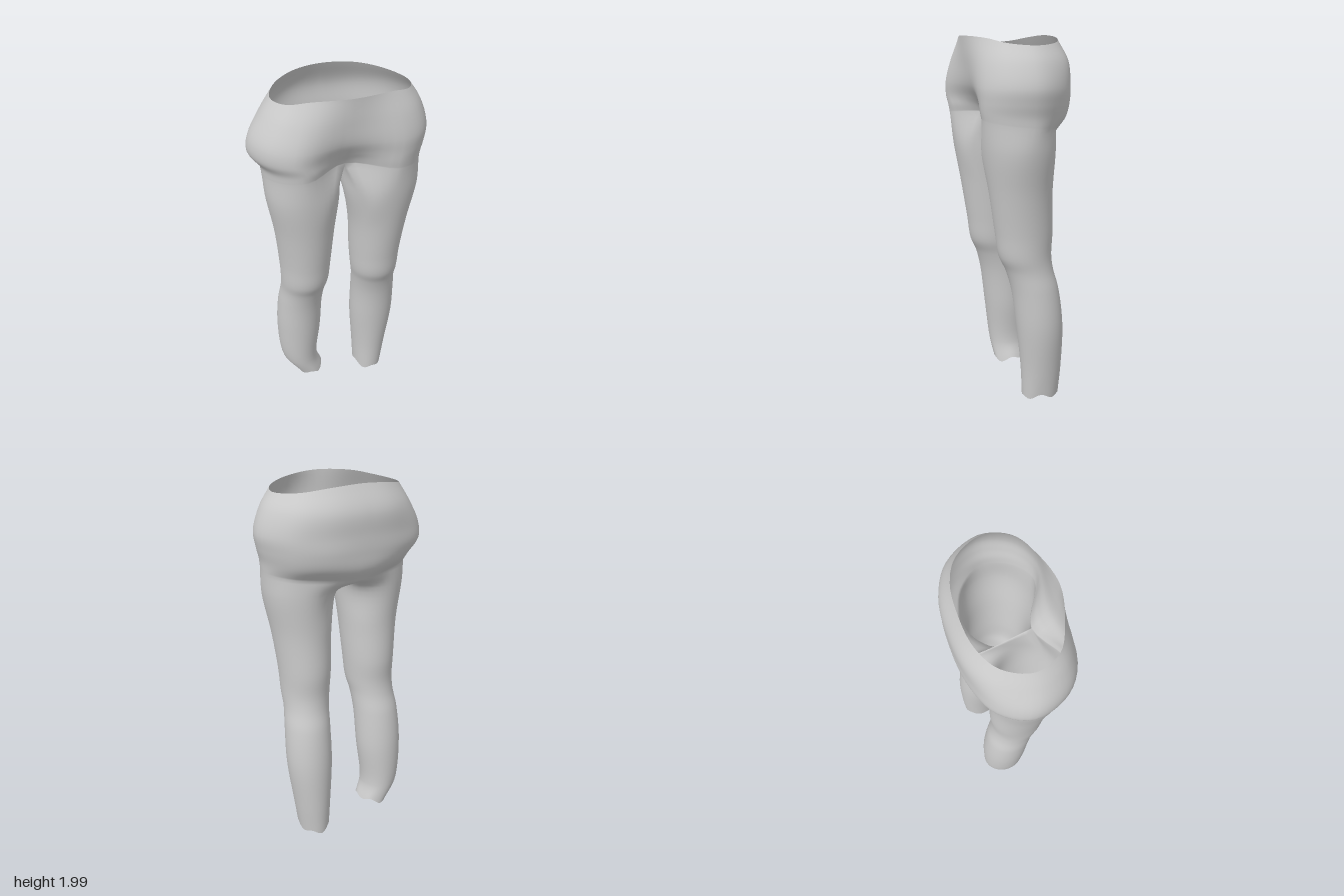
import * as THREE from 'three';
import { mergeGeometries, mergeVertices } from 'three/addons/utils/BufferGeometryUtils.js';

const K = 5; // samples between control points around a section
const V = 6; // samples between sections down the garment

// Hip sections: [y, zFrontSeam, zBackSeam, xOuter, zThigh, zButtock]
const hips = [
  [2.0, 0.265, -0.21, 0.375, 0.215, -0.192],
  [1.87, 0.255, -0.268, 0.43, 0.25, -0.245],
  [1.75, 0.235, -0.27, 0.467, 0.268, -0.245],
  [1.67, 0.195, -0.268, 0.457, 0.266, -0.245],
  [1.605, 0.165, -0.255, 0.442, 0.262, -0.225],
  [1.55, 0.145, -0.205, 0.437, 0.255, -0.162],
];

// Leg sections: [y, xOuter, xInner, zFront, zBack]
const legs = [
  [1.42, 0.43, 0.022, 0.24, -0.143],
  [1.2, 0.39, 0.065, 0.205, -0.134],
  [0.98, 0.365, 0.081, 0.172, -0.143],
  [0.85, 0.358, 0.093, 0.152, -0.137],
  [0.77, 0.357, 0.107, 0.116, -0.146],
  [0.66, 0.369, 0.115, 0.086, -0.174],
  [0.45, 0.375, 0.12, 0.058, -0.2],
  [0.2, 0.345, 0.14, 0.03, -0.2],
  [0.03, 0.322, 0.15, 0.02, -0.19],
];

// Half-section: front seam, thigh, outside, buttock, back seam.
// The right hip is slimmer apart from a flare where the cloth bunches.
function hipRow([y, seamFront, seamBack, xOuter, zf, zb], i, side) {
  const flare = Math.exp(-(((y - 1.7) / 0.06) ** 2));
  const xo = side > 0 ? xOuter : xOuter - 0.033 + 0.05 * flare;
  const zo = side > 0 ? 0.025 : 0.025 - 0.05 * flare;
  const xf = xo * 0.56, xb = xo * 0.46;
  const mix = THREE.MathUtils.lerp;
  const tilt = Math.max(0, 1.7 - y) * 0.35;
  const half = [
    [0, seamFront], [xf, zf], [mix(xf, xo, 0.7), mix(zo, zf, 0.68)], [xo, zo],
    [mix(xb, xo, 0.65), mix(zo, zb, 0.67)], [xb, zb], [0, seamBack],
  ].map(([x, z], j) => {
    const dip = i === 0 ? 0.045 * Math.sin(Math.PI * j / 6) ** 2 : 0;
    return new THREE.Vector3(x, y + tilt * (1 - j / 3) - dip, z);
  });
  // A mirrored second half keeps the curve level across the seams
  const other = half.slice(1, 6).reverse().map(p => new THREE.Vector3(-p.x, p.y, p.z));
  return new THREE.CatmullRomCurve3([...half, ...other], true)
    .getPoints(12 * K).slice(0, 6 * K + 1);
}

// Closed leg section, starting on the inner front like the hip section.
// The right leg stands closer to the middle and ends higher, with a frayed hem.
function legRow([y, xo, xi, zf, zb], i, side) {
  const hem = i === legs.length - 1;
  const right = side < 0;
  const shift = right ? (hem ? 0.075 : 0.036) : 0;
  const outer = xo - shift;
  const inner = xi - shift * Math.min(1, (1.55 - y) / 0.3);
  const level = right && hem ? 0.1 : y;
  return Array.from({ length: 8 * K }, (_, k) => {
    const a = Math.PI * (0.75 - k / (4 * K));
    const fray = hem ? 0.01 * (Math.sin(a * 5) + Math.sin(a * 2 + 1)) : 0;
    return new THREE.Vector3(
      (outer + inner) / 2 + Math.cos(a) * (outer - inner) / 2,
      level + fray,
      (zf + zb) / 2 + Math.sin(a) * (zf - zb) / 2);
  });
}

// Smooth surface through rows of points, mirrored when side is -1
function loft(rows, closed, side) {
  const n = rows[0].length;
  const m = (rows.length - 1) * V;
  const columns = rows[0].map((_, c) =>
    new THREE.CatmullRomCurve3(rows.map(r => r[c])).getPoints(m));
  const pos = [], idx = [];
  for (let r = 0; r <= m; r++) {
    for (const col of columns) pos.push(side * col[r].x, col[r].y, col[r].z);
  }
  for (let r = 0; r < m; r++) {
    for (let c = 0; c < (closed ? n : n - 1); c++) {
      const a = r * n + c, b = r * n + (c + 1) % n;
      const tris = [a, a + n, b, b, a + n, b + n];
      idx.push(...(side > 0 ? tris : tris.reverse()));
    }
  }
  const g = new THREE.BufferGeometry();
  g.setAttribute('position', new THREE.Float32BufferAttribute(pos, 3));
  g.setIndex(idx);
  return g;
}

export function createModel() {
  const group = new THREE.Group();
  group.name = 'trousers';
  const parts = [];
  for (const side of [1, -1]) {
    const hipRows = hips.map((h, i) => hipRow(h, i, side));
    parts.push(loft(hipRows, false, side));

    // Crotch gusset closes the last hip section into the top of the leg
    const edge = hipRows[hipRows.length - 1];
    const middle = new THREE.Vector3(0, 1.535, -0.03);
    const gusset = new THREE.CatmullRomCurve3([edge[6 * K], middle, edge[0]])
      .getPoints(2 * K).slice(1, -1);
    const legRows = legs.map((l, i) => legRow(l, i, side));
    parts.push(loft([[...edge, ...gusset], ...legRows], true, side));
  }

  // Weld the halves so the cloth shades as one smooth skin
  const cloth = mergeVertices(mergeGeometries(parts), 1e-4);
  cloth.computeVertexNormals();
  const mesh = new THREE.Mesh(cloth,
    new THREE.MeshStandardMaterial({ color: 0xcccccc, side: THREE.DoubleSide }));
  mesh.name = 'trouserCloth';
  group.add(mesh);
  return group;
}
